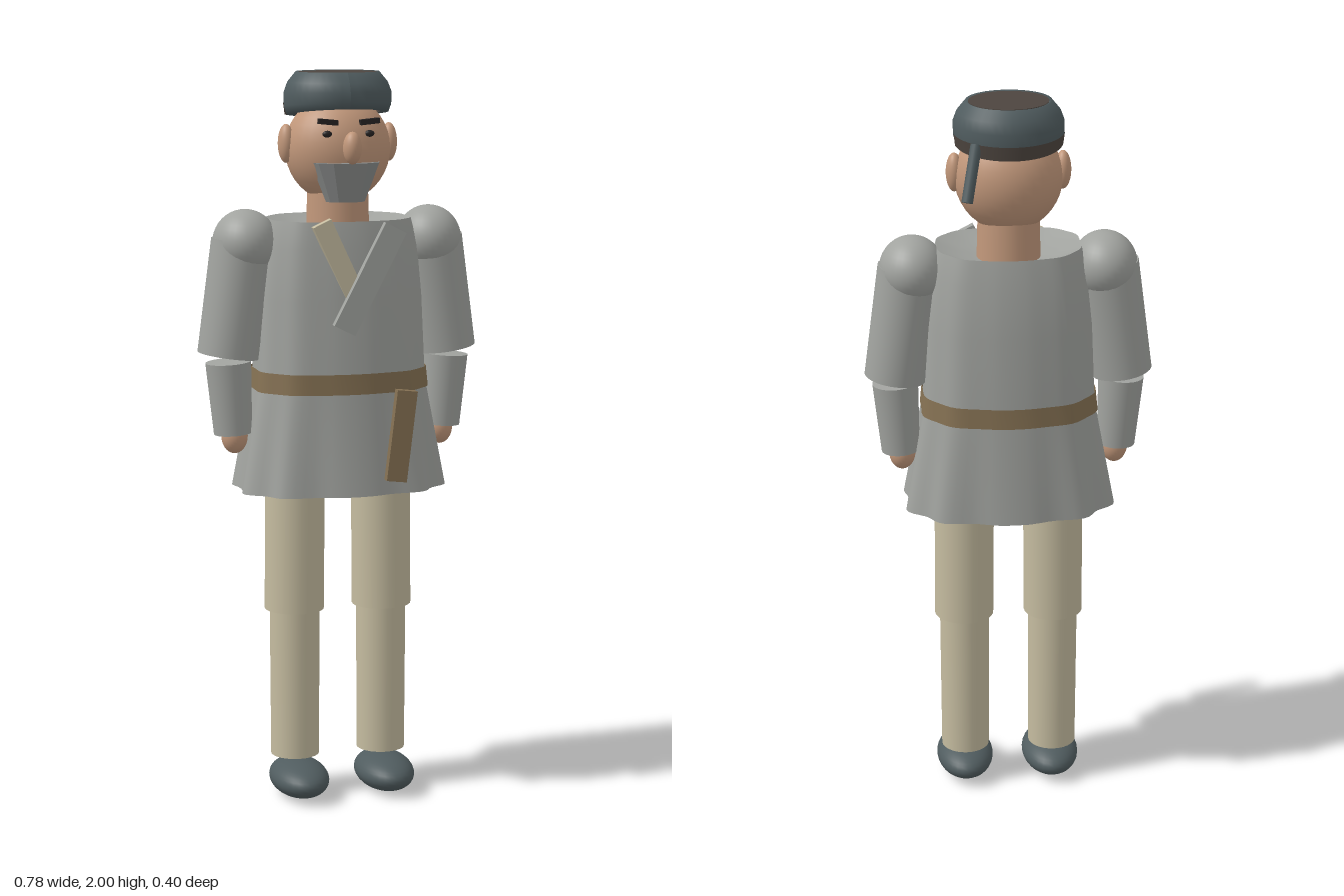
import * as THREE from 'three';

const mat = (name, color, extra = {}) =>
  Object.assign(new THREE.MeshStandardMaterial({ color, ...extra }), { name });

export function createModel() {
  const M = {
    cloth: mat('grey cloth', 0xa1a39f, { side: THREE.DoubleSide }),
    linen: mat('cream linen', 0xc5bca0),
    skin: mat('skin', 0xc2987b),
    beard: mat('beard grey', 0x8b8d8c),
    slate: mat('dark slate', 0x505c5f),
    hair: mat('dark brown', 0x4d453f, { side: THREE.DoubleSide }),
    leather: mat('belt brown', 0x857153, { side: THREE.DoubleSide }),
    dark: mat('eye black', 0x252222),
  };
  const model = new THREE.Group();

  const add = (name, geo, material, pos = [0, 0, 0]) => {
    const m = new THREE.Mesh(geo, material);
    m.name = name;
    m.position.set(...pos);
    model.add(m);
    return m;
  };
  const ball = (name, r, pos, material) =>
    add(name, new THREE.SphereGeometry(1, 32, 20).scale(...r), material, pos);
  const slab = (name, size, pos, tilt, material) => {
    const m = add(name, new THREE.BoxGeometry(...size), material, pos);
    m.rotation.z = tilt;
    return m;
  };
  // Tapered cylinder from a (top) to b (bottom)
  const limb = (name, a, b, ra, rb, material, sides = 28) => {
    const A = new THREE.Vector3(...a), B = new THREE.Vector3(...b);
    const m = add(name, new THREE.CylinderGeometry(ra, rb, A.distanceTo(B), sides), material);
    m.position.copy(A).add(B).multiplyScalar(0.5);
    m.quaternion.setFromUnitVectors(new THREE.Vector3(0, 1, 0), A.sub(B).normalize());
    return m;
  };

  // Rings of [y, half width, front depth, back depth, fold depth]
  const loft = (rings, grow = 0) => {
    const N = 72, pos = [], idx = [];
    const soft = (v) => Math.sign(v) * Math.abs(v) ** 0.8;
    rings.forEach(([y, rx, zf, zb, fold], i) => {
      for (let j = 0; j < N; j++) {
        const t = (j / N) * Math.PI * 2, s = Math.sin(t), c = Math.cos(t);
        const k = 1 + fold * (Math.cos(10 * t) - 1) + grow;
        pos.push(soft(s) * rx * k, y, soft(c) * (c > 0 ? zf : zb) * k);
        if (i < rings.length - 1) {
          const a = i * N + j, b = i * N + (j + 1) % N;
          idx.push(a, b, a + N, b, b + N, a + N);
        }
      }
    });
    const g = new THREE.BufferGeometry();
    g.setAttribute('position', new THREE.Float32BufferAttribute(pos, 3));
    g.setIndex(idx);
    g.computeVertexNormals();
    return g;
  };

  // Coat, its sunken collar, and the belt
  const low = [1.15, 0.24, 0.166, 0.186, 0.014], high = [1.205, 0.234, 0.164, 0.184, 0.012];
  add('coat', loft([
    [0.875, 0.295, 0.192, 0.2, 0.035], [1.0, 0.27, 0.18, 0.195, 0.025], low, high,
    [1.4, 0.225, 0.155, 0.185, 0.01], [1.54, 0.212, 0.145, 0.172, 0.01], [1.61, 0.195, 0.135, 0.16, 0.01],
  ]), M.cloth);
  add('collar', loft([[1.61, 0.195, 0.135, 0.16, 0.01], [1.585, 0.13, 0.1, 0.115, 0], [1.57, 0.04, 0.04, 0.04, 0]]), M.cloth);
  add('belt', loft([low, high], 0.018), M.leather);

  // Crossed lapels and hanging belt end
  slab('innerLapel', [0.053, 0.22, 0.024], [-0.04, 1.51, 0.147], 0.44, M.linen);
  slab('outerLapel', [0.064, 0.305, 0.023], [0.04, 1.46, 0.167], -0.48, M.cloth);
  slab('beltEnd', [0.056, 0.248, 0.025], [0.123, 1.037, 0.188], -0.12, M.leather);

  // Arms and legs
  for (const s of [1, -1]) {
    const side = s > 0 ? 'left' : 'right';
    ball(side + 'Shoulder', [0.088, 0.09, 0.1], [s * 0.257, 1.547, -0.01], M.cloth);
    limb(side + 'UpperArm', [s * 0.262, 1.55, -0.01], [s * 0.307, 1.243, -0.01], 0.087, 0.083, M.cloth);
    limb(side + 'Forearm', [s * 0.307, 1.226, -0.007], [s * 0.295, 1.03, -0.007], 0.062, 0.052, M.cloth);
    ball(side + 'Hand', [0.036, 0.048, 0.036], [s * 0.291, 1.022, -0.007], M.skin);
    limb(side + 'Thigh', [s * 0.122, 0.93, -0.008], [s * 0.125, 0.53, -0.008], 0.082, 0.082, M.linen);
    limb(side + 'Shin', [s * 0.124, 0.55, -0.008], [s * 0.124, 0.113, -0.008], 0.069, 0.067, M.linen);
    ball(side + 'Shoe', [0.08, 0.05, 0.13], [s * 0.123, 0.055, 0.033], M.slate);
  }

  // Head and face
  limb('neck', [0, 1.7, -0.01], [0, 1.55, -0.01], 0.082, 0.086, M.skin);
  ball('head', [0.143, 0.146, 0.126], [0, 1.795, -0.01], M.skin);
  ball('nose', [0.025, 0.043, 0.027], [0, 1.805, 0.14], M.skin);
  for (const s of [1, -1]) {
    const side = s > 0 ? 'left' : 'right';
    ball(side + 'Ear', [0.022, 0.052, 0.028], [s * 0.143, 1.81, -0.01], M.skin);
    ball(side + 'Eye', [0.013, 0.009, 0.008], [s * 0.058, 1.84, 0.1], M.dark);
    slab(side + 'Brow', [0.052, 0.014, 0.022], [s * 0.057, 1.872, 0.103], s * 0.1, M.dark);
  }

  // Faceted beard, narrowing to the chin
  const beard = new THREE.CylinderGeometry(0.096, 0.054, 0.105, 12).scale(1, 1, 0.7).toNonIndexed();
  beard.computeVertexNormals();
  add('beard', beard, M.beard, [0, 1.711, 0.07]);

  // Round cap, its lower edge dropping toward the back
  const cap = new THREE.LatheGeometry([
    [0.115, 1.89], [0.138, 1.889], [0.145, 1.91], [0.146, 1.945], [0.136, 1.972], [0.113, 2.0], [0.104, 1.997],
  ].map(([x, y]) => new THREE.Vector2(x, y)), 40);
  const edge = new THREE.CylinderGeometry(0.147, 0.143, 0.03, 40, 1, true, Math.PI * 0.55, Math.PI * 0.9)
    .translate(0, 1.905, 0);
  for (const g of [cap, edge]) {
    const p = g.attributes.position;
    for (let i = 0; i < p.count; i++) {
      const drop = Math.max(0, Math.min(1, (1.96 - p.getY(i)) / 0.07));
      p.setY(i, p.getY(i) + drop * p.getZ(i) * 0.12);
    }
    g.scale(1, 1, 0.92);
    g.computeVertexNormals();
  }
  add('cap', cap, M.slate, [0, 0, -0.011]);
  add('capRearEdge', edge, M.hair, [0, 0, -0.011]);
  add('capCrown', new THREE.CylinderGeometry(0.106, 0.106, 0.006, 24).scale(1, 1, 0.9), M.hair, [0, 1.996, -0.011]);
  limb('capTail', [0.092, 1.91, -0.108], [0.12, 1.77, -0.157], 0.015, 0.015, M.slate, 16);

  return model;
}
